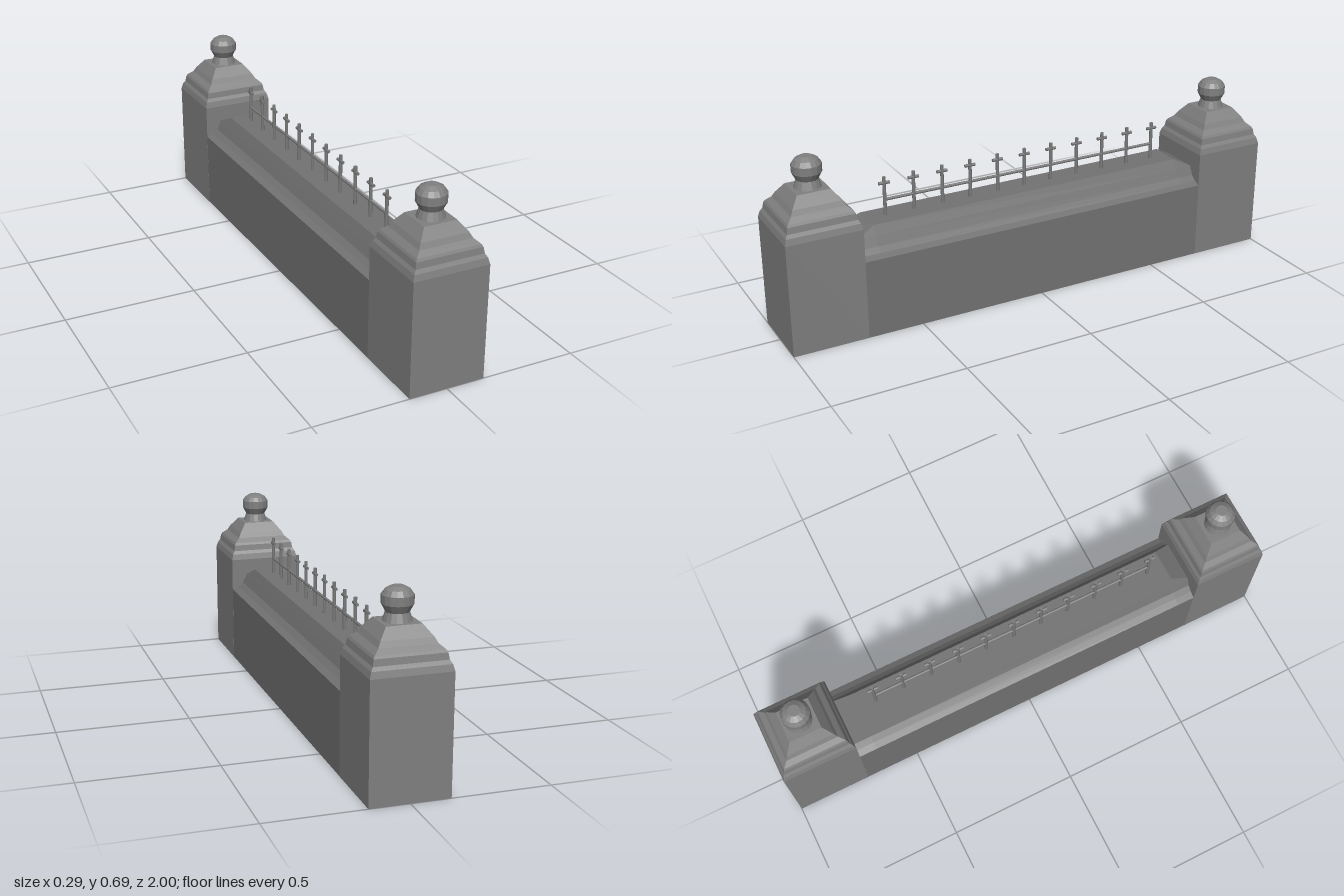
import * as THREE from 'three';

const pillarStone = new THREE.MeshStandardMaterial({ color: 0x7f7f7f, flatShading: true });
const wallStone = new THREE.MeshStandardMaterial({ color: 0x727272, flatShading: true });
const iron = new THREE.MeshStandardMaterial({ color: 0x7a7a7a });

function addMesh(parent, name, geometry, material, x = 0, y = 0, z = 0) {
  const mesh = new THREE.Mesh(geometry, material);
  mesh.name = name;
  mesh.position.set(x, y, z);
  parent.add(mesh);
  return mesh;
}

// Profile of [radius, height] pairs, turned around y
function turned(profile, sides, scale = 1, start = 0) {
  const points = profile.map(([r, y]) => new THREE.Vector2(r * scale, y));
  return new THREE.LatheGeometry(points, sides, start);
}

// Skin between matching cross-sections, with the two ends closed
function loft(sections) {
  const n = sections[0].length;
  const index = [];
  for (let s = 0; s < sections.length - 1; s++) {
    for (let i = 0; i < n; i++) {
      const a = s * n + i, b = s * n + (i + 1) % n;
      index.push(a, b, b + n, a, b + n, a + n);
    }
  }
  // The sections are mirror symmetric, so each end closes in strips across x
  const last = (sections.length - 1) * n;
  for (let i = 0; i < n / 2 - 1; i++) {
    const j = n - 1 - i;
    index.push(i, j, i + 1, i + 1, j, j - 1);
    index.push(last + i, last + i + 1, last + j, last + i + 1, last + j - 1, last + j);
  }
  const geometry = new THREE.BufferGeometry();
  geometry.setAttribute('position', new THREE.Float32BufferAttribute(sections.flat(2), 3));
  geometry.setIndex(index);
  geometry.computeVertexNormals();
  return geometry;
}

// Low wall with a concave coping whose top slopes down to the pillars
function wallGeometry() {
  const half = [[0.1425, 0], [0.1425, 0.302], [0.118, 0.313], [0.097, 0.33], [0.08, 0.365]];
  const section = (z, topX, topY) => {
    const right = [...half, [topX, topY]];
    const left = right.map(([x, y]) => [-x, y]).reverse();
    return [...right, ...left].map(([x, y]) => [x, y, z]);
  };
  return loft([
    section(-0.715, 0.08, 0.365),
    section(-0.645, 0.062, 0.4),
    section(0.645, 0.062, 0.4),
    section(0.715, 0.08, 0.365),
  ]);
}

function createPillar(name, z) {
  const pillar = new THREE.Group();
  pillar.name = name;
  pillar.position.z = z;
  // Square shaft with moulded cap
  const body = [
    [0, 0], [0.143, 0], [0.143, 0.43], [0.137, 0.453], [0.129, 0.466], [0.125, 0.489],
    [0.12, 0.498], [0.101, 0.515], [0.091, 0.534], [0.062, 0.572], [0, 0.572],
  ];
  addMesh(pillar, 'pillarBody', turned(body, 4, Math.SQRT2, Math.PI / 4), pillarStone);
  // Ball finial on a flared neck
  const finial = [
    [0.05, 0.572], [0.04, 0.602], [0.054, 0.628], [0.054, 0.658],
    [0.042, 0.675], [0.022, 0.686], [0, 0.686],
  ];
  addMesh(pillar, 'finial', turned(finial, 16), pillarStone);
  return pillar;
}

function createRailing() {
  const railing = new THREE.Group();
  railing.name = 'railing';
  const rod = (radius, length) => new THREE.CylinderGeometry(radius, radius, length, 12);
  addMesh(railing, 'rail', rod(0.0055, 1.15), iron, 0, 0.46, 0).rotation.x = Math.PI / 2;
  const post = rod(0.0065, 0.15);
  const crossbar = rod(0.006, 0.042);
  for (let i = -5; i <= 5; i++) {
    const z = i * 0.1145;
    addMesh(railing, 'post', post, iron, 0, 0.473, z);
    addMesh(railing, 'crossbar', crossbar, iron, 0, 0.525, z).rotation.x = Math.PI / 2;
  }
  return railing;
}

export function createModel() {
  const model = new THREE.Group();
  model.name = 'wallWithRailing';
  addMesh(model, 'wall', wallGeometry(), wallStone);
  model.add(createPillar('frontPillar', 0.857), createPillar('backPillar', -0.857));
  model.add(createRailing());
  return model;
}
